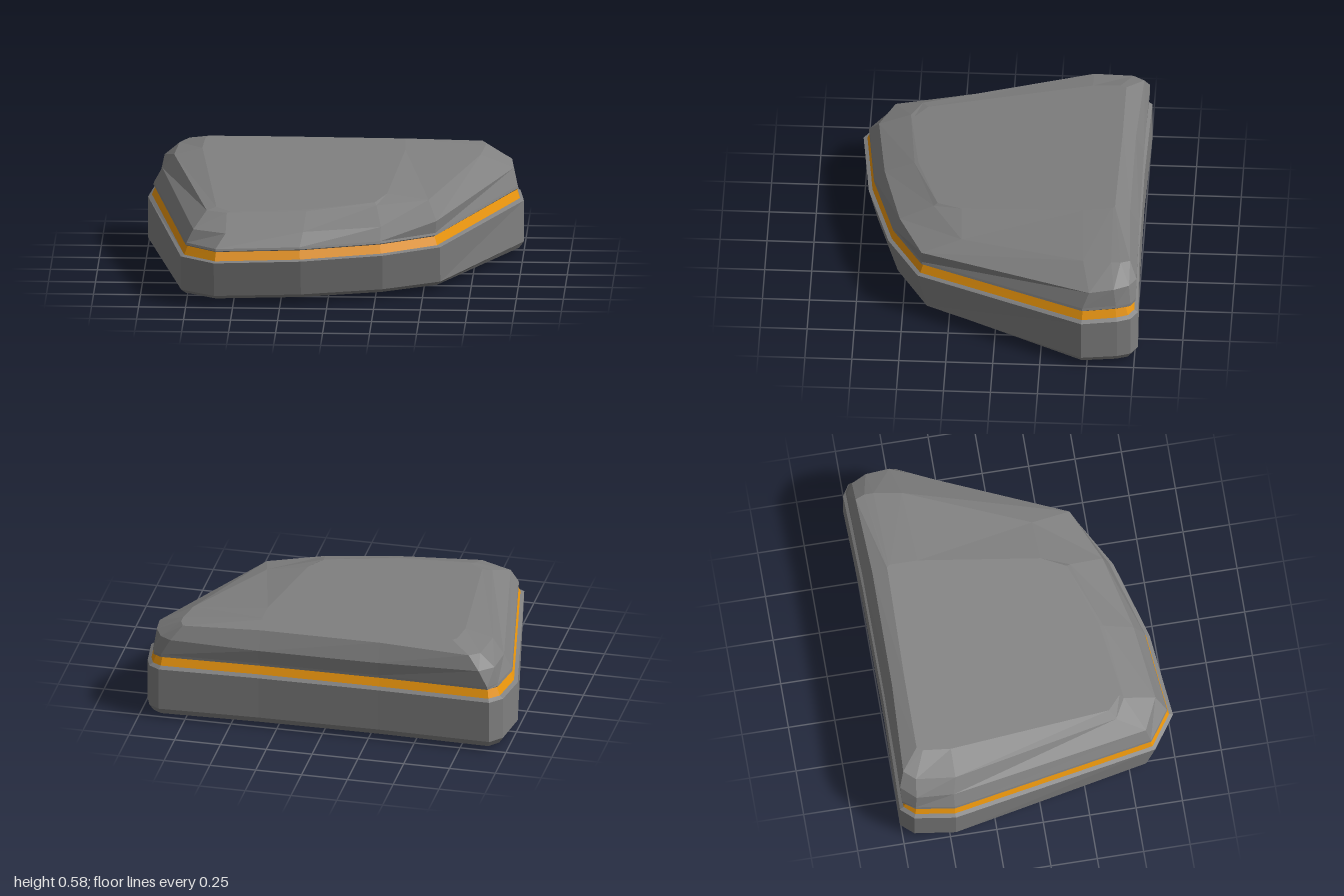
import * as THREE from 'three';

// plan outline (x, z), counter-clockwise from above, starting at the front
const OUTLINE = [
  [-0.60, 0.765], [-0.14, 0.715], [0.29, 0.59], [0.59, 0.42],
  [1.0, -0.47], [0.975, -0.66], [0.95, -0.73], [0.89, -0.768], [0.35, -0.75],
  [-0.3, -0.745], [-0.91, -0.757], [-0.97, -0.69], [-1.0, -0.47], [-0.78, 0.64],
];

// hand-placed lid sections (x, y, z): shoulder and crest
const SHOULDER = [
  [-0.54, 0.39, 0.68], [-0.13, 0.39, 0.63], [0.28, 0.395, 0.53], [0.57, 0.395, 0.40],
  [0.945, 0.45, -0.51], [0.93, 0.465, -0.64], [0.89, 0.465, -0.72], [0.83, 0.465, -0.757], [0.35, 0.45, -0.748],
  [-0.3, 0.45, -0.743], [-0.85, 0.465, -0.747], [-0.92, 0.46, -0.67], [-0.925, 0.44, -0.47], [-0.715, 0.39, 0.60],
];
const CREST = [
  [-0.54, 0.458, 0.51], [-0.12, 0.46, 0.47], [0.25, 0.465, 0.35], [0.52, 0.455, 0.19],
  [0.77, 0.53, -0.47], [0.79, 0.54, -0.62], [0.79, 0.54, -0.67], [0.77, 0.54, -0.72], [0.35, 0.55, -0.70],
  [-0.3, 0.55, -0.70], [-0.79, 0.54, -0.72], [-0.84, 0.53, -0.66], [-0.86, 0.52, -0.45], [-0.65, 0.455, 0.45],
];
// flat top outline (x, z), lying on a plane that rises to the back
const TOP = [
  [-0.52, 0.49], [-0.12, 0.45], [0.24, 0.33], [0.30, 0.20],
  [0.37, -0.45], [0.365, -0.60], [0.36, -0.61], [0.35, -0.62], [0.30, -0.62],
  [-0.3, -0.63], [-0.68, -0.63], [-0.70, -0.60], [-0.71, -0.45], [-0.60, 0.42],
].map(([x, z]) => [x, 0.511 - 0.103 * z, z]);

// outline moved inward by d, sloped along z, with optional shifts of front and back
function ring(d, y0, slope, frontShift = 0, backShift = 0) {
  const n = OUTLINE.length;
  return OUTLINE.map((p, i) => {
    const a = OUTLINE[(i + n - 1) % n], b = OUTLINE[(i + 1) % n];
    const normal = (s, e) => {
      const l = Math.hypot(e[0] - s[0], e[1] - s[1]);
      return [(e[1] - s[1]) / l, -(e[0] - s[0]) / l];
    };
    const u = normal(a, p), v = normal(p, b);
    const k = d / (1 + u[0] * v[0] + u[1] * v[1]);
    const z = p[1] + (u[1] + v[1]) * k;
    return [
      p[0] + (u[0] + v[0]) * k,
      y0 + slope * p[1],
      z + (p[1] > 0 ? frontShift : p[1] < -0.7 ? backShift : 0),
    ];
  });
}

// faceted skin through the rings from bottom to top, with optional caps
function loft(rings, capBottom, capTop) {
  const pos = [];
  const tri = (...pts) => pts.forEach((p) => pos.push(...p));
  const n = rings[0].length;
  const middle = (r) => [0, 1, 2].map((k) => r.reduce((s, p) => s + p[k], 0) / n);
  const low = rings[0], high = rings[rings.length - 1];
  const lowMid = middle(low), highMid = middle(high);
  for (let i = 0; i < n; i++) {
    const j = (i + 1) % n;
    for (let r = 0; r + 1 < rings.length; r++) {
      const a = rings[r], b = rings[r + 1];
      tri(a[i], a[j], b[j]);
      tri(a[i], b[j], b[i]);
    }
    if (capBottom) tri(low[j], low[i], lowMid);
    if (capTop) tri(high[i], high[j], highMid);
  }
  const g = new THREE.BufferGeometry();
  g.setAttribute('position', new THREE.Float32BufferAttribute(pos, 3));
  g.computeVertexNormals();
  return g;
}

export function createModel() {
  const grey = new THREE.MeshStandardMaterial({ color: 0x808080, flatShading: true });
  grey.name = 'grey';
  const orange = new THREE.MeshStandardMaterial({ color: 0xe8940c, flatShading: true });
  orange.name = 'orange';

  const rim = ring(0.02, 0.278, -0.032);
  const bandTop = ring(0.04, 0.323, -0.031);

  const group = new THREE.Group();
  group.name = 'wedgeCase';
  const add = (name, geometry, material) => {
    const mesh = new THREE.Mesh(geometry, material);
    mesh.name = name;
    group.add(mesh);
  };

  // lower body with bevelled underside and rim
  add('base', loft([
    ring(0.07, 0.009, 0.012, -0.10),
    ring(0.025, 0.022, 0.006, -0.08),
    ring(0, 0.055, 0, -0.05),
    ring(0, 0.268, -0.027),
    rim,
  ], true, false), grey);

  // recessed coloured strip
  add('band', loft([rim, bandTop], false, false), orange);

  // rounded sloping lid
  add('lid', loft([
    bandTop,
    ring(0.028, 0.332, -0.034, 0, -0.015),
    ring(0.032, 0.345, -0.036, 0, -0.02),
    SHOULDER, CREST, TOP,
  ], false, true), grey);

  return group;
}
